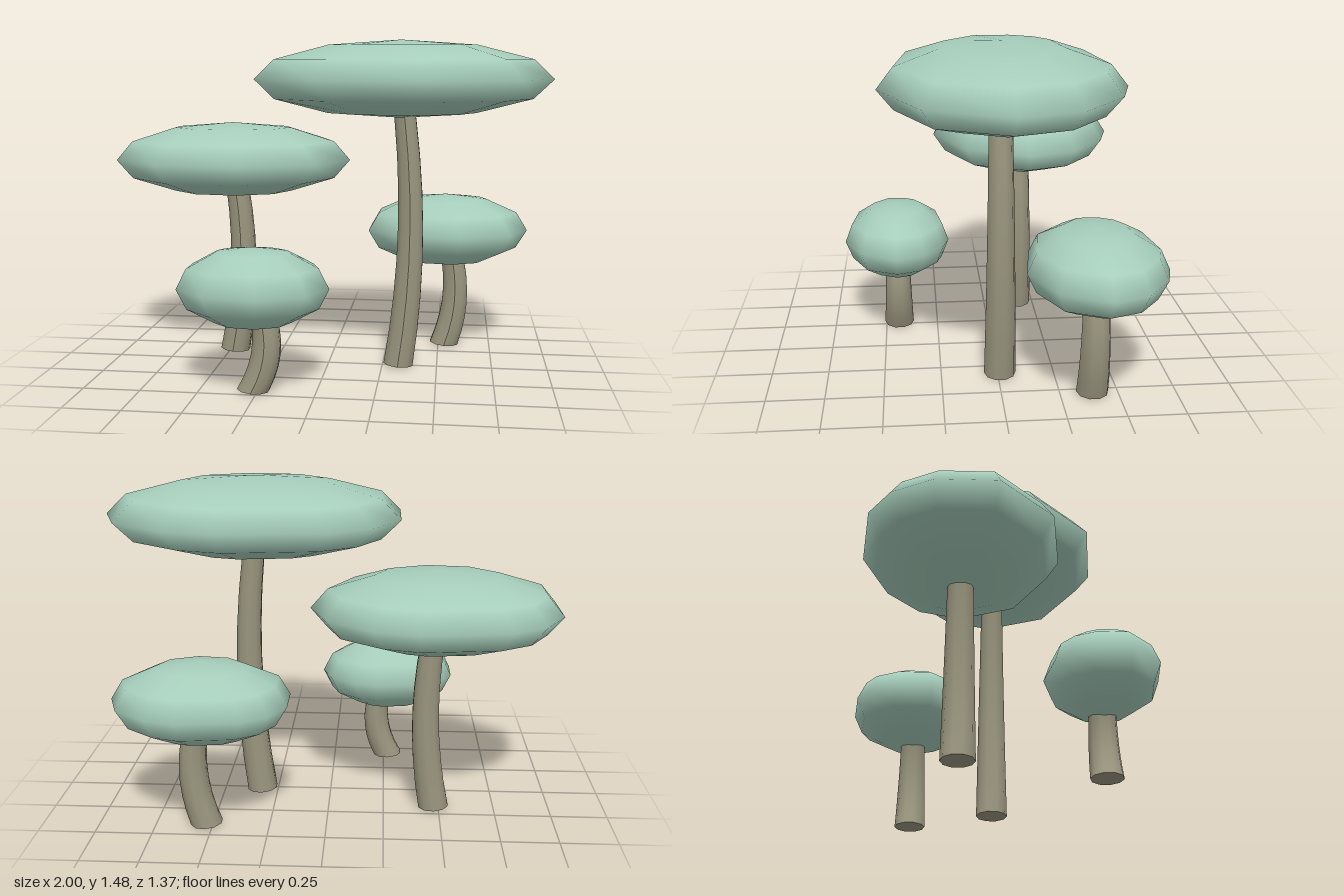
import * as THREE from 'three';

const capMaterial = new THREE.MeshStandardMaterial({ color: 0xa6cdbb });
const stemMaterial = new THREE.MeshStandardMaterial({ color: 0x99957e });

// Azimuths of the cap's columns: broad facets in front, finer ones behind
const AZIMUTHS = [160, 120, 80, 40, 0, -30, -60, -80, -120, -140, -166, -200];

// Low, smooth-shaded ellipsoid with an uneven many-sided outline
function makeCap(rx, ry, rz) {
  const columns = AZIMUTHS.length;
  const geometry = new THREE.SphereGeometry(1, columns - 1, 6);
  const pos = geometry.attributes.position;
  const normal = geometry.attributes.normal;
  for (let i = 0; i < pos.count; i++) {
    const a = THREE.MathUtils.degToRad(AZIMUTHS[i % columns]);
    const y = pos.getY(i);
    const r = Math.sqrt(Math.max(0, 1 - y * y));
    const x = r * Math.cos(a), z = r * Math.sin(a);
    normal.setXYZ(i, x, y, z);
    pos.setXYZ(i, Math.max(x, -0.94 * r), y, z); // flattened on one side
  }
  geometry.scale(rx, ry, rz);
  return new THREE.Mesh(geometry, capMaterial);
}

// Tapered stem bowed sideways, with a slightly slanted foot
function makeStem(height, bow, bottom, top) {
  const geometry = new THREE.CylinderGeometry(top, bottom, 1, 10, 8);
  geometry.translate(0, 0.5, 0);
  const pos = geometry.attributes.position;
  for (let i = 0; i < pos.count; i++) {
    const x = pos.getX(i), t = pos.getY(i);
    const slant = (bottom - x) * 0.08 * (1 - t);
    pos.setXYZ(i, x + 4 * bow * t * (1 - t), t * height + slant, pos.getZ(i));
  }
  geometry.computeVertexNormals();
  return new THREE.Mesh(geometry, stemMaterial);
}

export function createModel() {
  const group = new THREE.Group();
  const mushrooms = [
    { name: 'tallMushroom', x: 0.323, z: -0.01, y: 1.3125, rx: 0.672, bow: 0.05, top: 0.048 },
    { name: 'wideMushroom', x: -0.477, z: -0.167, y: 0.932, rx: 0.557, bow: 0.045, top: 0.052 },
    { name: 'backMushroom', x: 0.528, z: -0.39, y: 0.578, rx: 0.392, bow: 0.052, top: 0.053 },
    { name: 'frontMushroom', x: -0.27, z: 0.437, y: 0.45, rx: 0.327, bow: 0.06, top: 0.053 },
  ];
  for (const m of mushrooms) {
    const mushroom = new THREE.Group();
    mushroom.name = m.name;
    mushroom.position.set(m.x, 0, m.z);
    const cap = makeCap(m.rx, 0.1725, m.rx * 0.763);
    cap.name = 'cap';
    cap.position.y = m.y;
    const stem = makeStem(m.y - 0.02, m.bow, 0.07, m.top);
    stem.name = 'stem';
    mushroom.add(cap, stem);
    group.add(mushroom);
  }
  return group;
}
